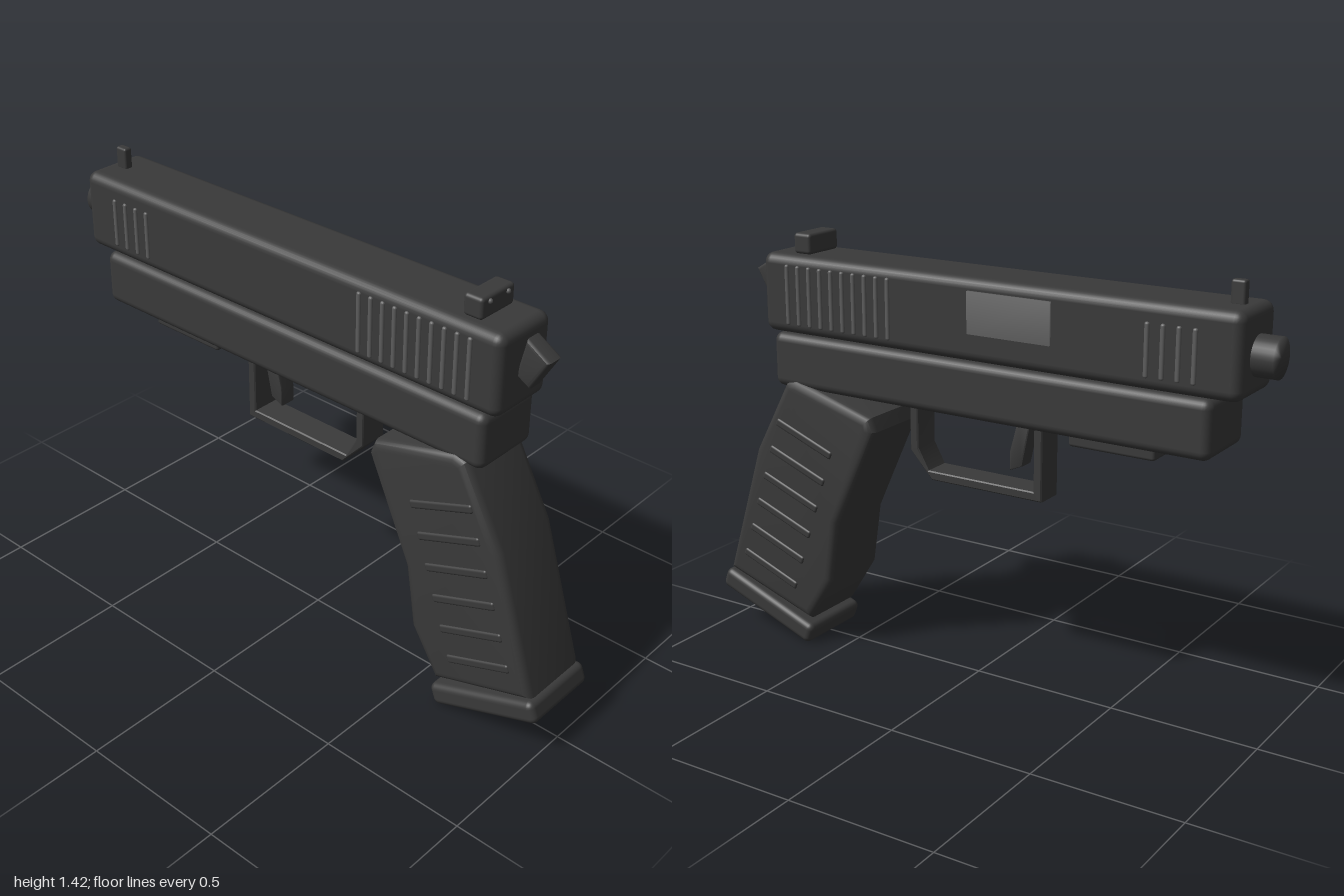
import * as THREE from 'three';
import { RoundedBoxGeometry } from 'three/addons/geometries/RoundedBoxGeometry.js';
import { mergeVertices, toCreasedNormals } from 'three/addons/utils/BufferGeometryUtils.js';

const mat = (name, color) => new THREE.MeshStandardMaterial({ name, color });

// Extrude a [z, y] outline across x, with rounded edges kept inside the outline
function sideExtrude(points, width, bevel, segments = 3) {
  const shape = new THREE.Shape(points.map(([z, y]) => new THREE.Vector2(z, y)));
  const depth = width - 2 * bevel;
  const geo = new THREE.ExtrudeGeometry(shape, {
    depth, bevelEnabled: bevel > 0, bevelThickness: bevel, bevelSize: bevel,
    bevelOffset: -bevel, bevelSegments: segments,
  });
  geo.translate(0, 0, -depth / 2);
  geo.rotateY(-Math.PI / 2);
  return toCreasedNormals(geo, 0.6);
}

// Share normals across edges for a soft, pillowy look
function soften(geo) {
  geo.deleteAttribute('uv');
  geo.deleteAttribute('normal');
  const merged = mergeVertices(geo);
  merged.computeVertexNormals();
  return merged;
}

export function createModel() {
  const model = new THREE.Group();
  model.name = 'pistol';
  const body = mat('dark gunmetal', 0x3a3a3a);
  const steel = mat('worn steel', 0x5c5c5c);
  const port = mat('port steel', 0x686868);

  const add = (name, geo, material, x = 0, y = 0, z = 0, tilt = 0) => {
    const mesh = new THREE.Mesh(geo, material);
    mesh.name = name;
    mesh.position.set(x, y, z);
    mesh.rotation.x = tilt;
    model.add(mesh);
    return mesh;
  };
  const rbox = (w, h, d, r) => new RoundedBoxGeometry(w, h, d, 3, r);

  // Upper body
  add('slide', rbox(0.234, 0.262, 1.705, 0.033), body, 0, 1.23, -0.08);
  add('frame', rbox(0.246, 0.184, 1.585, 0.03), body, 0, 1.008, -0.0575);
  add('accessoryRail', rbox(0.16, 0.06, 0.29, 0.01), body, 0, 0.908, -0.515);
  const barrel = new THREE.CylinderGeometry(0.062, 0.062, 0.2, 32).rotateX(Math.PI / 2);
  add('barrel', soften(barrel), body, 0, 1.22, -0.9);

  // Sights
  add('rearSight', rbox(0.15, 0.068, 0.068, 0.012), body, 0, 1.394, 0.636);
  for (const side of [-1, 1]) {
    add('rearSightDot', new THREE.SphereGeometry(0.008, 12, 8), steel, side * 0.041, 1.412, 0.67);
  }
  add('frontSight', rbox(0.03, 0.075, 0.046, 0.008), body, 0, 1.392, -0.866);

  // Hammer
  add('hammer', sideExtrude([[0.87, 1.285], [0.79, 1.333], [0.762, 1.21], [0.81, 1.183]], 0.064, 0.012),
    body);

  // Slide serrations on both sides, and the port on one
  for (const side of [-1, 1]) {
    for (let i = 0; i < 10; i++) {
      add('rearSerration', rbox(0.02, 0.2, 0.016, 0.007), steel, side * 0.114, 1.23, 0.667 - i * 0.0446);
    }
    for (let i = 0; i < 4; i++) {
      add('frontSerration', rbox(0.02, 0.165, 0.016, 0.007), steel, side * 0.114, 1.22, -0.64 - i * 0.05);
    }
  }
  add('ejectionPort', soften(new THREE.BoxGeometry(0.02, 0.133, 0.29)), port, 0.115, 1.257, -0.18);

  // Grip with raised ribs and base plate
  add('grip', sideExtrude([
    [0.683, 0.935], [0.64, 0.948], [0.34, 0.862], [0.322, 0.815], [0.479, 0.471],
    [0.511, 0.257], [0.613, 0.096], [0.969, 0.214], [0.822, 0.68],
  ], 0.27, 0.03, 4), body);
  const tilt = -0.36;
  for (const side of [-1, 1]) {
    for (let i = 0; i < 6; i++) {
      add('gripRib', rbox(0.02, 0.03, 0.245, 0.009), body,
        side * 0.13, 0.753 - i * 0.1, 0.608 + i * 0.0336, tilt);
    }
  }
  add('basePlate', rbox(0.28, 0.075, 0.41, 0.022), body, 0, 0.106, 0.8, tilt);

  // Trigger and its guard
  add('triggerGuard', sideExtrude([
    [0.233, 0.93], [0.233, 0.757], [0.15, 0.667], [-0.262, 0.667], [-0.262, 0.93],
    [-0.232, 0.93], [-0.232, 0.697], [0.163, 0.697], [0.203, 0.768], [0.203, 0.93],
  ], 0.1, 0.004, 1), body);
  add('trigger', sideExtrude([
    [-0.165, 0.93], [-0.213, 0.93], [-0.178, 0.765], [-0.133, 0.745], [-0.133, 0.81],
  ], 0.06, 0.006, 2), body);

  return model;
}
